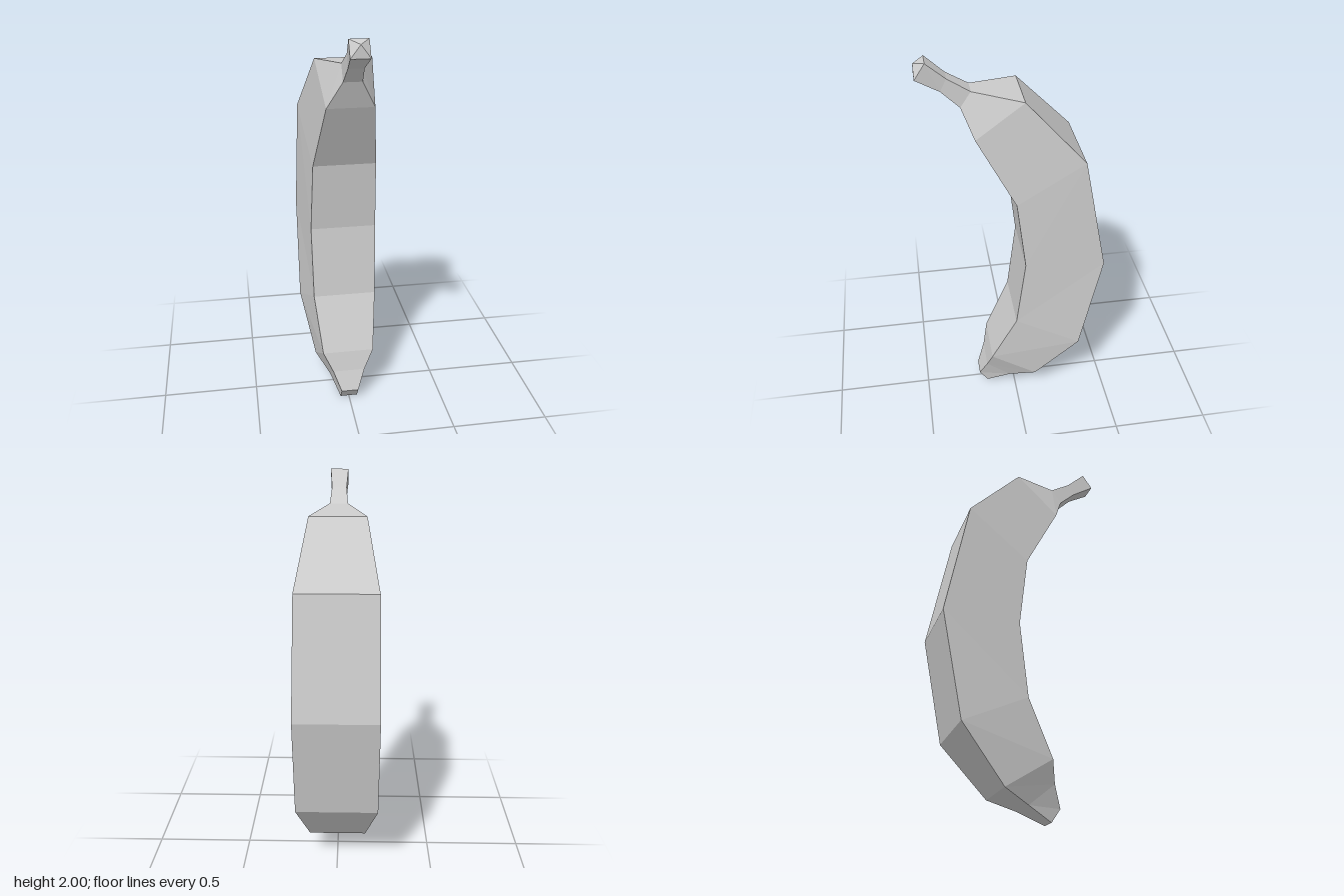
import * as THREE from 'three';

// Four-sided rings from bottom to top: inner edge [z, y, halfWidth], outer edge [z, y, halfWidth]
const RINGS = [
  [[0.2, 0.065, 0.045], [0.155, 0.0, 0.045]],
  [[0.16, 0.17, 0.085], [0.03, 0.065, 0.085]],
  [[0.135, 0.275, 0.135], [-0.105, 0.125, 0.15]],
  [[0.005, 0.555, 0.165], [-0.33, 0.395, 0.21]],
  [[-0.04, 0.935, 0.17], [-0.435, 0.935, 0.21]],
  [[0.005, 1.3, 0.16], [-0.315, 1.53, 0.2]],
  [[0.19, 1.645, 0.115], [-0.035, 1.83, 0.14]],
  [[0.245, 1.78, 0.045], [0.195, 1.855, 0.045]],
  [[0.33, 1.86, 0.037], [0.3, 1.92, 0.037]],
  [[0.44, 1.925, 0.045], [0.39, 2.0, 0.045]],
];
const STEM_POINT = [0, 1.985, 0.44];

// Corners run counterclockwise seen from above
function corners([[zi, yi, wi], [zo, yo, wo]]) {
  return [[-wi, yi, zi], [wi, yi, zi], [wo, yo, zo], [-wo, yo, zo]];
}

// Skin a run of rings, with an optional flat bottom cap and pointed top cap
function loft(name, first, last, material, { bottom = false, point = null } = {}) {
  const rings = RINGS.slice(first, last + 1).map(corners);
  const positions = [];
  const tri = (...points) => points.forEach((p) => positions.push(...p));

  for (let i = 0; i < rings.length - 1; i++) {
    const a = rings[i], b = rings[i + 1];
    for (let j = 0; j < 4; j++) {
      const k = (j + 1) % 4;
      if (j === 3) { // mirrored diagonal on the right side
        tri(a[j], a[k], b[j]);
        tri(a[k], b[k], b[j]);
      } else {
        tri(a[j], a[k], b[k]);
        tri(a[j], b[k], b[j]);
      }
    }
  }
  if (bottom) {
    const r = rings[0];
    tri(r[0], r[3], r[2]);
    tri(r[0], r[2], r[1]);
  }
  if (point) {
    const r = rings[rings.length - 1];
    for (let j = 0; j < 4; j++) tri(r[j], r[(j + 1) % 4], point);
  }

  const geometry = new THREE.BufferGeometry();
  geometry.setAttribute('position', new THREE.Float32BufferAttribute(positions, 3));
  geometry.computeVertexNormals();
  const mesh = new THREE.Mesh(geometry, material);
  mesh.name = name;
  return mesh;
}

export function createModel() {
  const group = new THREE.Group();
  group.name = 'banana';
  const peel = new THREE.MeshStandardMaterial({ color: 0xcccccc, flatShading: true });
  group.add(
    loft('tip', 0, 2, peel, { bottom: true }),
    loft('body', 2, 6, peel),
    loft('stem', 6, 9, peel, { point: STEM_POINT }),
  );
  return group;
}
